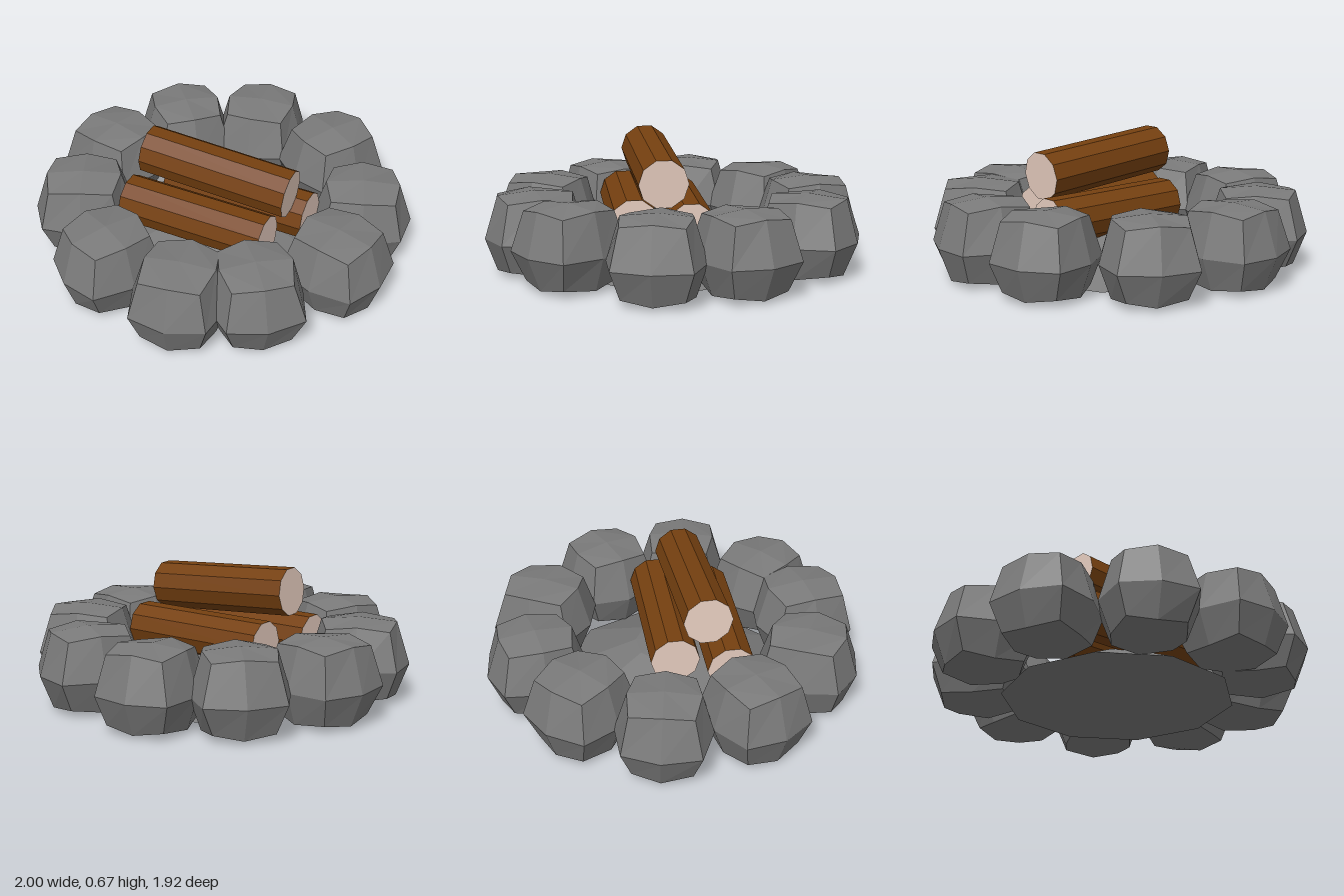
import * as THREE from 'three';

const material = (name, color) => {
  const m = new THREE.MeshStandardMaterial({ color });
  m.name = name;
  return m;
};

// Faceted normals
const faceted = (geometry) => {
  const g = geometry.toNonIndexed();
  g.computeVertexNormals();
  return g;
};

// Small repeatable variation in the range -1..1
const vary = (n) => {
  const s = Math.sin(n * 12.9898) * 43758.5453;
  return 2 * (s - Math.floor(s)) - 1;
};

// Rock: a subdivided block whose edges and corners are drawn inwards
function rockGeometry(seed) {
  const g = new THREE.BoxGeometry(2, 2, 2, 2, 2, 2);
  const p = g.attributes.position;
  const upright = [0, 1, 0.92, 0.82];
  for (let i = 0; i < p.count; i++) {
    const s = [p.getX(i), p.getY(i), p.getZ(i)].map(Math.round);
    const n = s.filter((v) => v !== 0).length;
    const id = seed * 31 + s[0] * 9 + s[1] * 3 + s[2];
    // Waist corners stay wide, top and bottom ones pull in
    const across = n === 3 ? 0.62 : n === 2 ? (s[1] ? 0.74 : 0.8) : 1;
    const wobble = n > 1 ? 0.007 : 0;
    p.setXYZ(i,
      s[0] * across * 0.26 + wobble * vary(id),
      s[1] ? s[1] * upright[n] * 0.212 : -0.025,
      s[2] * across * 0.245 + wobble * vary(id + 0.5));
  }
  return faceted(g);
}

export function createModel() {
  const group = new THREE.Group();
  const stone = material('stone grey', 0x7a7a7a);
  const bark = material('bark brown', 0x754010);
  const cutWood = material('cut wood', 0xecd2c4);

  // Ring of rocks, each facing outwards: [angle, distance from the middle]
  const ring = new THREE.Group();
  ring.name = 'rockRing';
  const places = [
    [0, 0.74], [34, 0.735], [73.5, 0.735], [111.5, 0.74], [145, 0.73],
    [180, 0.74], [217, 0.725], [256, 0.725], [292.5, 0.735], [321.5, 0.725],
  ];
  places.forEach(([degrees, r], i) => {
    const a = THREE.MathUtils.degToRad(degrees);
    const rock = new THREE.Mesh(rockGeometry(i + 1), stone);
    rock.name = 'rock';
    rock.position.set(r * Math.cos(a), 0.216, -r * Math.sin(a));
    rock.rotation.y = a;
    ring.add(rock);
  });
  group.add(ring);

  // Low mound under the logs
  const profile = [[0, 0.005], [0.6, 0.005], [0.2, 0.2], [0, 0.22]].map(([x, y]) => new THREE.Vector2(x, y));
  const mound = new THREE.Mesh(faceted(new THREE.LatheGeometry(profile, 10)), stone);
  mound.name = 'ashMound';
  group.add(mound);

  // Ten-sided logs with a flat side up, given by their two end centres
  const addLog = (name, from, to) => {
    const a = new THREE.Vector3(...from);
    const b = new THREE.Vector3(...to);
    const source = new THREE.CylinderGeometry(0.126, 0.126, a.distanceTo(b), 10, 1, false, Math.PI / 2);
    source.rotateX(Math.PI / 2);
    const log = new THREE.Mesh(faceted(source), [bark, cutWood, cutWood]);
    log.geometry.clearGroups();
    source.groups.forEach((s) => log.geometry.addGroup(s.start, s.count, s.materialIndex));
    log.name = name;
    log.position.copy(a).add(b).multiplyScalar(0.5);
    log.lookAt(b);
    group.add(log);
  };
  addLog('topLog', [-0.325, 0.553, 0.195], [0.44, 0.502, 0.0]);
  addLog('backLog', [-0.305, 0.292, 0.03], [0.465, 0.292, -0.14]);
  addLog('frontLog', [-0.36, 0.292, 0.32], [0.41, 0.292, 0.15]);

  return group;
}
